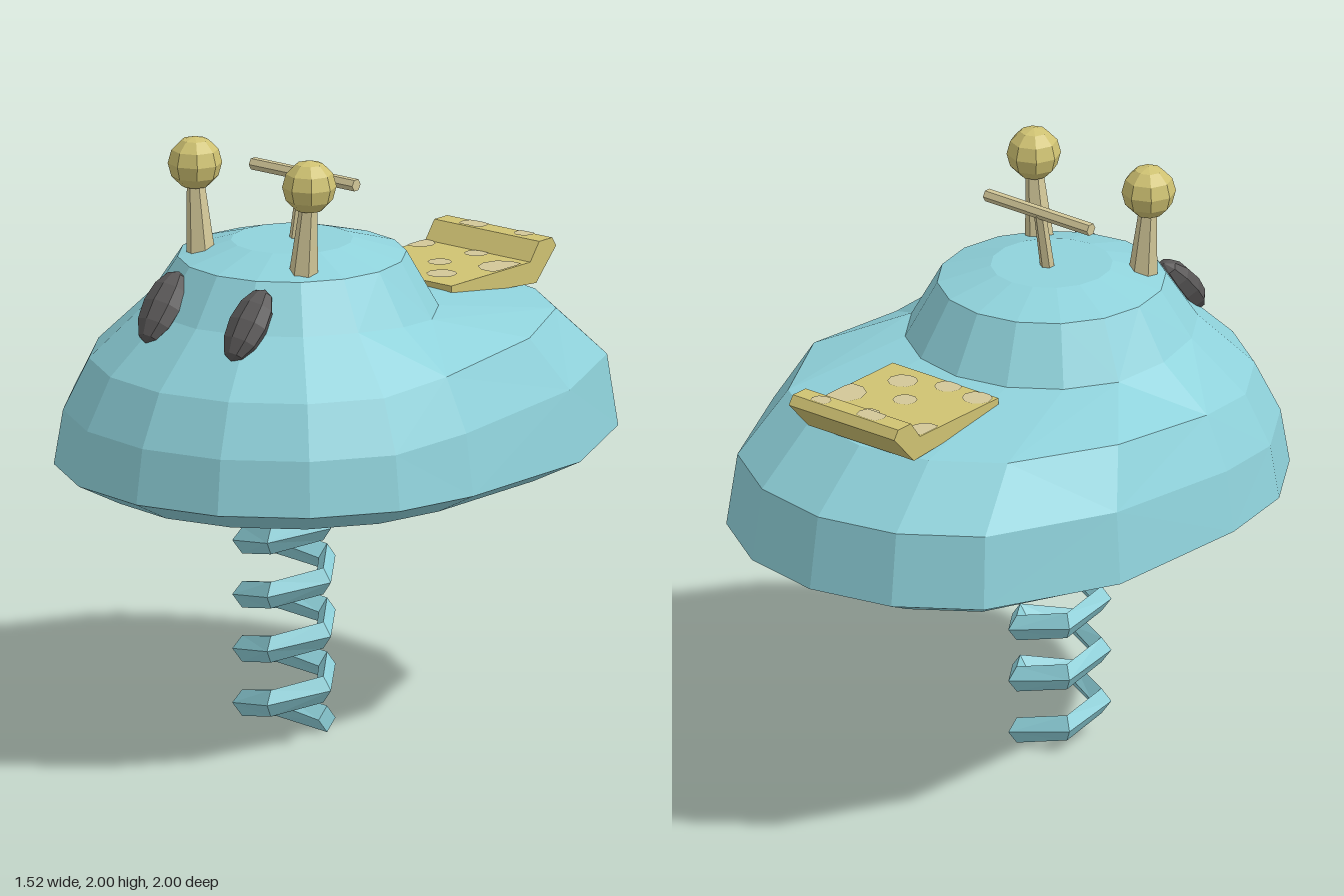
import * as THREE from 'three';

const mat = (name, color, flat = true) => new THREE.MeshStandardMaterial({ name, color, flatShading: flat });
const V = (x, y, z) => new THREE.Vector3(x, y, z);

// Skin a list of closed cross-sections, with zigzag diagonals and both ends capped.
function loft(rings) {
  const pos = [];
  const tri = (...pts) => pts.forEach(p => pos.push(p.x, p.y, p.z));
  const n = rings[0].length;
  for (let i = 0; i < rings.length - 1; i++) {
    for (let j = 0; j < n; j++) {
      const k = (j + 1) % n;
      const a = rings[i][j], b = rings[i][k], c = rings[i + 1][k], d = rings[i + 1][j];
      if ((i + j) % 2) { tri(a, b, c); tri(a, c, d); }
      else { tri(a, b, d); tri(b, c, d); }
    }
  }
  const cap = (ring, flip) => {
    const mid = ring.reduce((s, p) => s.add(p), V(0, 0, 0)).divideScalar(n);
    ring.forEach((p, j) => {
      const q = ring[(j + 1) % n];
      if (flip) tri(mid, q, p); else tri(mid, p, q);
    });
  };
  cap(rings[0], true);
  cap(rings[rings.length - 1], false);
  const g = new THREE.BufferGeometry();
  g.setAttribute('position', new THREE.Float32BufferAttribute(pos, 3));
  g.computeVertexNormals();
  return g;
}

export function createModel() {
  const model = new THREE.Group();
  model.name = 'springRider';
  const teal = mat('teal', 0x8fd2db);
  const yellow = mat('yellow', 0xcfc272);
  const cream = mat('paleYellow', 0xd2c798);
  const dark = mat('darkGrey', 0x595757);

  const add = (name, geometry, material, parent = model) => {
    const m = new THREE.Mesh(geometry, material);
    m.name = name;
    parent.add(m);
    return m;
  };

  // Tapered rod between two points
  const rod = (name, a, b, r0, r1, sides, material) => {
    const dir = b.clone().sub(a);
    const m = add(name, new THREE.CylinderGeometry(r1, r0, dir.length(), sides), material);
    m.position.copy(a).add(b).multiplyScalar(0.5);
    m.quaternion.setFromUnitVectors(V(0, 1, 0), dir.normalize());
    return m;
  };

  // Body: domed rings whose rear half is pulled back to make the tail deck
  // [radius, front height, rear height, rear stretch]
  const sections = [
    [0.63, 0.855, 0.855, 0.43],
    [0.78, 0.93, 0.93, 0.44],
    [0.75, 1.11, 1.17, 0.43],
    [0.665, 1.28, 1.35, 0.305],
    [0.48, 1.455, 1.425, 0],
    [0.375, 1.61, 1.61, 0],
    [0.2, 1.66, 1.66, 0],
  ];
  const bodyRing = ([r, yFront, yBack, stretch]) => Array.from({ length: 16 }, (_, j) => {
    const a = j * Math.PI / 8, c = Math.cos(a);
    const rear = c < -0.5 ? 1 : c < -0.01 ? 0.58 : 0;
    const wide = rear === 0.58 && stretch ? 1.06 : 1;
    const y = THREE.MathUtils.lerp(yBack, yFront, THREE.MathUtils.clamp(c * 1.5 + 0.6, 0, 1));
    return V(0.975 * r * wide * Math.sin(a), y, 0.22 + r * c - rear * stretch);
  });
  add('body', loft(sections.map(bodyRing)), teal);

  // Coil spring: five-sided turns with a diamond section
  const coil = [];
  for (let i = 0; i <= 24; i++) {
    const a = -(i + 1) * Math.PI * 0.4, y = 0.045 + i * 0.036;
    const at = (r, dy) => V(r * Math.cos(a), y + dy, 0.24 + r * Math.sin(a));
    coil.push([at(0.148, 0.044), at(0.18, 0), at(0.148, -0.044), at(0.116, 0)]);
  }
  add('spring', loft(coil), teal);

  // Eyes and antennae, mirrored
  for (const s of [1, -1]) {
    const side = s > 0 ? 'left' : 'right';
    const eye = add(side + 'Eye', new THREE.SphereGeometry(1, 8, 6), dark);
    eye.scale.set(0.072, 0.133, 0.055);
    eye.position.set(s * 0.18, 1.488, 0.655);
    eye.rotation.x = -0.7;

    rod(side + 'AntennaStalk', V(s * 0.215, 1.61, 0.42), V(s * 0.238, 1.86, 0.42), 0.048, 0.028, 6, cream);
    const ball = add(side + 'AntennaBall', new THREE.SphereGeometry(0.088, 8, 6), yellow);
    ball.position.set(s * 0.24, 1.912, 0.42);
  }

  // Handlebar
  rod('handlePost', V(0, 1.62, 0.205), V(0, 1.86, 0.16), 0.024, 0.02, 6, cream);
  rod('handleBar', V(-0.217, 1.86, 0.157), V(0.217, 1.86, 0.157), 0.021, 0.021, 6, cream);

  // Seat with raised backrest: side profile (distance back, height)
  const profile = [[0.315, 1.39], [0.74, 1.355], [0.84, 1.46], [0.82, 1.49], [0.755, 1.49], [0.71, 1.43], [0.315, 1.43]];
  const seat = new THREE.ExtrudeGeometry(new THREE.Shape(profile.map(p => new THREE.Vector2(...p))),
    { depth: 0.44, bevelEnabled: false });
  seat.rotateY(Math.PI / 2).translate(-0.22, 0, 0);
  add('seat', seat, yellow);

  // Seat spots, trimmed at the seat edges: [x, distance back, radius]
  const spots = new THREE.Group();
  spots.name = 'seatSpots';
  model.add(spots);
  const spot = ([x, b, r], y, near, far) => {
    const pts = Array.from({ length: 10 }, (_, i) => {
      const a = i * Math.PI / 5;
      return new THREE.Vector2(
        THREE.MathUtils.clamp(x + r * Math.cos(a), -0.22, 0.22),
        THREE.MathUtils.clamp(b + r * Math.sin(a), near, far));
    });
    const g = new THREE.ShapeGeometry(new THREE.Shape(pts));
    g.rotateX(-Math.PI / 2).translate(0, y, 0);
    add('seatSpot', g, cream, spots);
  };
  [[0, 0.52, 0.04], [0.19, 0.6, 0.075], [-0.2, 0.66, 0.05], [0.1, 0.41, 0.05], [-0.04, 0.35, 0.045],
    [-0.17, 0.36, 0.05], [0.02, 0.68, 0.04]].forEach(s => spot(s, 1.433, 0.316, 0.708));
  [[-0.08, 0.785, 0.05], [0.12, 0.8, 0.035]].forEach(s => spot(s, 1.493, 0.757, 0.819));

  return model;
}
